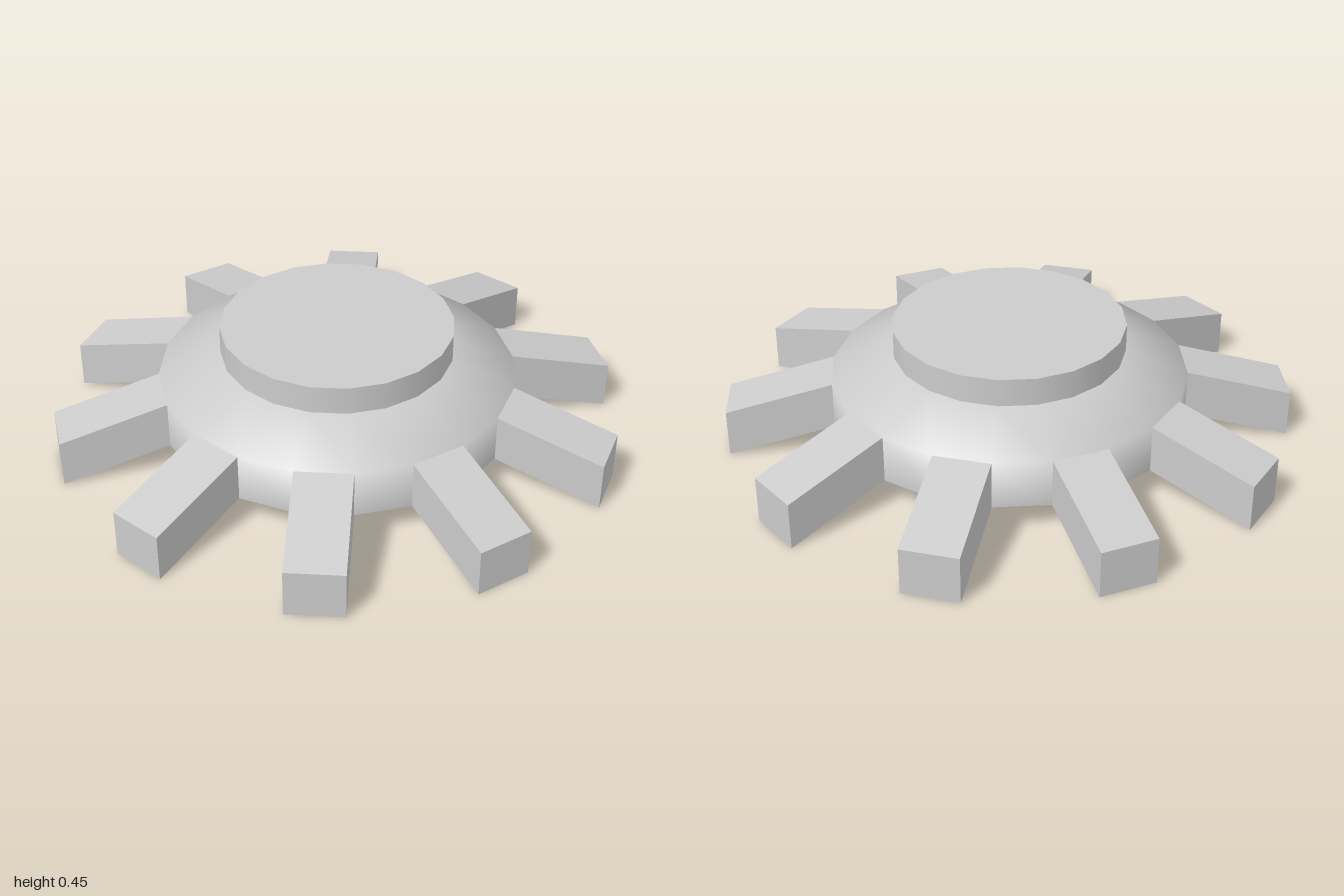
import * as THREE from 'three';

const SIDES = 20;
const HUB_RADIUS = 0.63;
const CAP_RADIUS = 0.41;

export function createModel() {
  const group = new THREE.Group();
  const material = new THREE.MeshStandardMaterial({ color: 0xcccccc });

  function add(name, geometry) {
    const mesh = new THREE.Mesh(geometry, material);
    mesh.name = name;
    group.add(mesh);
    return mesh;
  }

  // Hub: sloping shoulder rounding over into an upright rim
  add('hub', new THREE.LatheGeometry([
    new THREE.Vector2(HUB_RADIUS, 0.1),
    new THREE.Vector2(HUB_RADIUS, 0.27),
    new THREE.Vector2(CAP_RADIUS, 0.35),
  ], SIDES));

  // Flat underside of the hub
  const underside = add('hubUnderside', new THREE.CircleGeometry(HUB_RADIUS, SIDES));
  underside.rotation.x = Math.PI / 2;
  underside.position.y = 0.1;

  // Raised disc on top
  const cap = add('topDisc', new THREE.CylinderGeometry(CAP_RADIUS, CAP_RADIUS, 0.1, SIDES));
  cap.position.y = 0.4;

  // Spokes: every second rim facet pushed outward and down
  const inner = HUB_RADIUS * Math.cos(Math.PI / SIDES);
  const width = 2 * HUB_RADIUS * Math.sin(Math.PI / SIDES);
  const outer = 0.997;
  const profile = new THREE.Shape([
    new THREE.Vector2(inner, 0.1),
    new THREE.Vector2(outer, 0),
    new THREE.Vector2(outer, 0.17),
    new THREE.Vector2(inner, 0.27),
  ]);
  const spokeGeometry = new THREE.ExtrudeGeometry(profile, { depth: width, bevelEnabled: false });
  spokeGeometry.translate(0, 0, -width / 2);
  for (let i = 0; i < SIDES / 2; i++) {
    const spoke = add(`spoke${i + 1}`, spokeGeometry);
    spoke.rotation.y = THREE.MathUtils.degToRad(-9 + 36 * i - 90);
  }

  return group;
}
